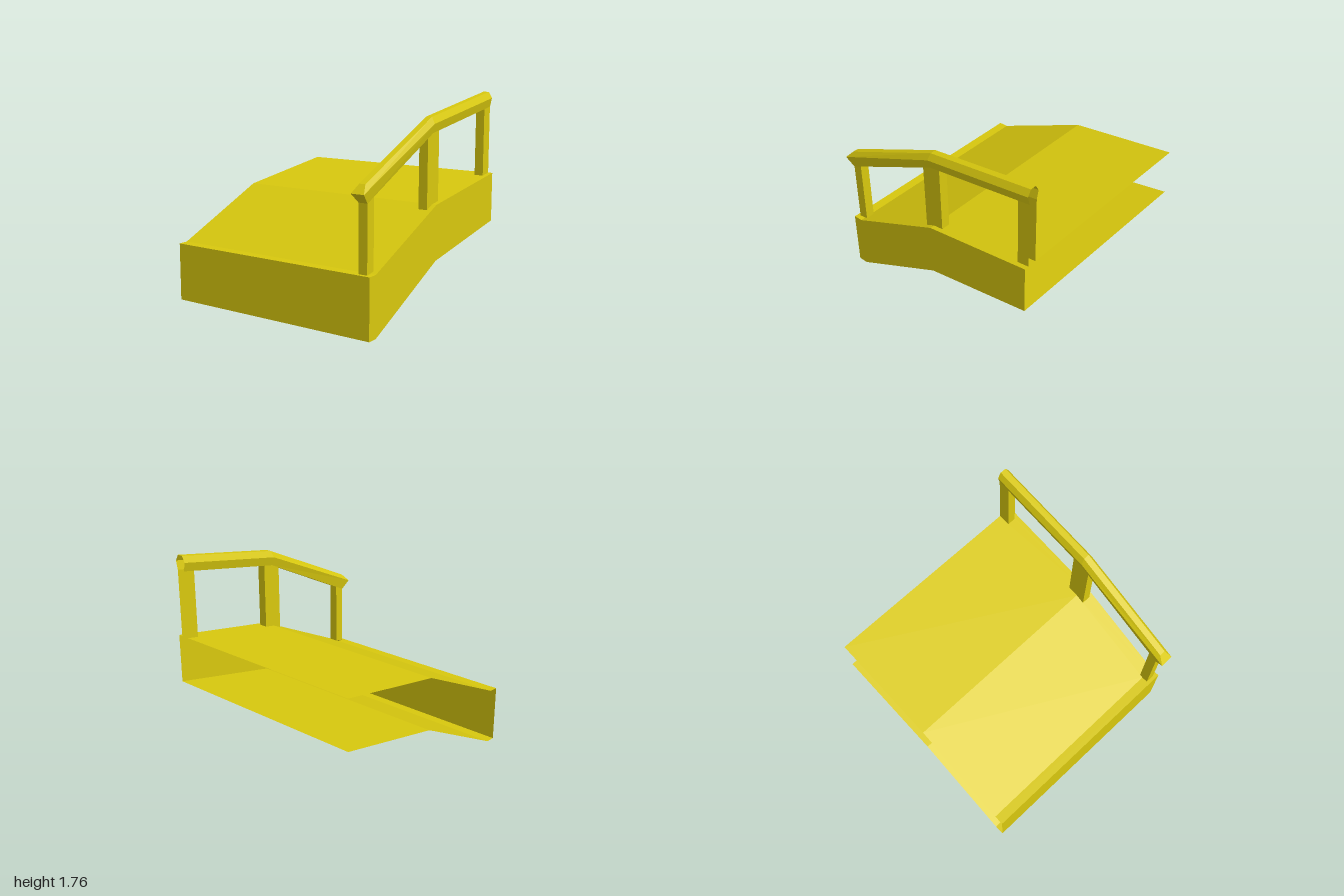
import * as THREE from 'three';

const material = new THREE.MeshStandardMaterial({ color: 0xd8c80e, flatShading: true, side: THREE.DoubleSide });

// Long profiles as [x, y], from the low end to the open high end
const DECK = [[-0.955, 0.495], [-0.87, 0.497], [0.01, 0.895], [1, 1.042]];
const UNDER = [[-0.955, 0], [-0.87, 0], [0.01, 0.43], [1, 0.61]];
const RAIL_TOP = [[-0.935, 1.178], [0.01, 1.605], [1, 1.76]];
const RAIL_SIDE = [[-1, 1.11], [0, 1.55], [1, 1.706]];
const RAIL_LOW = [[-0.925, 1.035], [0.01, 1.475], [1, 1.63]];
const HALF = 0.978;
const RAIL_Z = 0.897, POST_HALF = 0.04;
const POSTS = [[-0.925, -0.84], [-0.07, 0.01, 0.105], [0.895, 1]];

// Height of a profile at x
function heightAt(profile, x) {
  let i = 0;
  while (i < profile.length - 2 && x > profile[i + 1][0]) i++;
  const [x0, y0] = profile[i], [x1, y1] = profile[i + 1];
  return y0 + (y1 - y0) * (x - x0) / (x1 - x0);
}

// Part of a profile between two x positions
function cut(profile, a, b) {
  const inner = profile.filter(p => p[0] > a + 1e-4 && p[0] < b - 1e-4);
  return [[a, heightAt(profile, a)], ...inner, [b, heightAt(profile, b)]];
}

const atZ = (profile, z) => profile.map(([x, y]) => [x, y, z]);

// Sheet between two lines; seen from its front, line a runs left to right below line b
function sheet(name, a, b) {
  const pos = [];
  for (let i = 0; i < a.length - 1; i++) {
    pos.push(...a[i], ...a[i + 1], ...b[i + 1], ...a[i], ...b[i + 1], ...b[i]);
  }
  const geometry = new THREE.BufferGeometry();
  geometry.setAttribute('position', new THREE.Float32BufferAttribute(pos, 3));
  geometry.computeVertexNormals();
  const mesh = new THREE.Mesh(geometry, material);
  mesh.name = name;
  return mesh;
}

function named(name, ...meshes) {
  const group = new THREE.Group();
  group.name = name;
  group.add(...meshes);
  return group;
}

export function createModel() {
  const model = new THREE.Group();
  model.name = 'bridgeSection';
  const front = RAIL_Z + POST_HALF, back = RAIL_Z - POST_HALF;

  // Deck, left open under the hollow posts
  const deck = named('deck',
    sheet('deckMain', atZ(DECK, back), atZ(DECK, -HALF)),
    sheet('deckEdge', atZ(DECK, HALF), atZ(DECK, front)));
  [[-0.955, -0.925], [-0.84, -0.07], [0.105, 0.895]].forEach(([a, b]) => {
    const line = cut(DECK, a, b);
    deck.add(sheet('deckBetweenPosts', atZ(line, front), atZ(line, back)));
  });
  model.add(deck);

  // Underside, outer wall and low end wall; the other two sides stay open
  model.add(
    sheet('underside', atZ(UNDER, -HALF), atZ(UNDER, HALF)),
    sheet('sideWall', atZ(UNDER, HALF), atZ(DECK, HALF)),
    sheet('endWall',
      [[...UNDER[0], -HALF], [...UNDER[0], HALF]],
      [[...DECK[0], -HALF], [...DECK[0], HALF]]));

  // Hollow posts, the last one open at the high end
  POSTS.forEach(xs => {
    const foot = xs.map(x => [x, heightAt(DECK, x)]);
    const head = xs.map(x => [x, heightAt(RAIL_LOW, x)]);
    const n = xs.length - 1;
    const post = named('post',
      sheet('postFront', atZ(foot, front), atZ(head, front)),
      sheet('postBack', atZ(head, back), atZ(foot, back)),
      sheet('postLowSide',
        [[...foot[0], back], [...foot[0], front]],
        [[...head[0], back], [...head[0], front]]));
    if (xs[n] < 1) {
      post.add(sheet('postHighSide',
        [[...foot[n], front], [...foot[n], back]],
        [[...head[n], front], [...head[n], back]]));
    }
    model.add(post);
  });

  // Six-sided handrail: lines around its section, joined by sheets
  const lines = [
    atZ(RAIL_LOW, front), atZ(RAIL_SIDE, RAIL_Z + 0.058), atZ(RAIL_TOP, RAIL_Z + 0.027),
    atZ(RAIL_TOP, RAIL_Z - 0.027), atZ(RAIL_SIDE, RAIL_Z - 0.058), atZ(RAIL_LOW, back),
  ];
  const rail = named('handrail');
  for (let i = 0; i < 5; i++) rail.add(sheet('railFace', lines[i], lines[i + 1]));
  [[-0.84, -0.07], [0.105, 0.895]].forEach(([a, b]) => {
    const line = cut(RAIL_LOW, a, b);
    rail.add(sheet('railBottom', atZ(line, back), atZ(line, front)));
  });
  // Pointed cap at the low end
  const tip = lines.map(line => line[0]);
  rail.add(
    sheet('railCapLower', [tip[5], tip[0]], [tip[4], tip[1]]),
    sheet('railCapUpper', [tip[4], tip[1]], [tip[3], tip[2]]));
  model.add(rail);
  return model;
}
